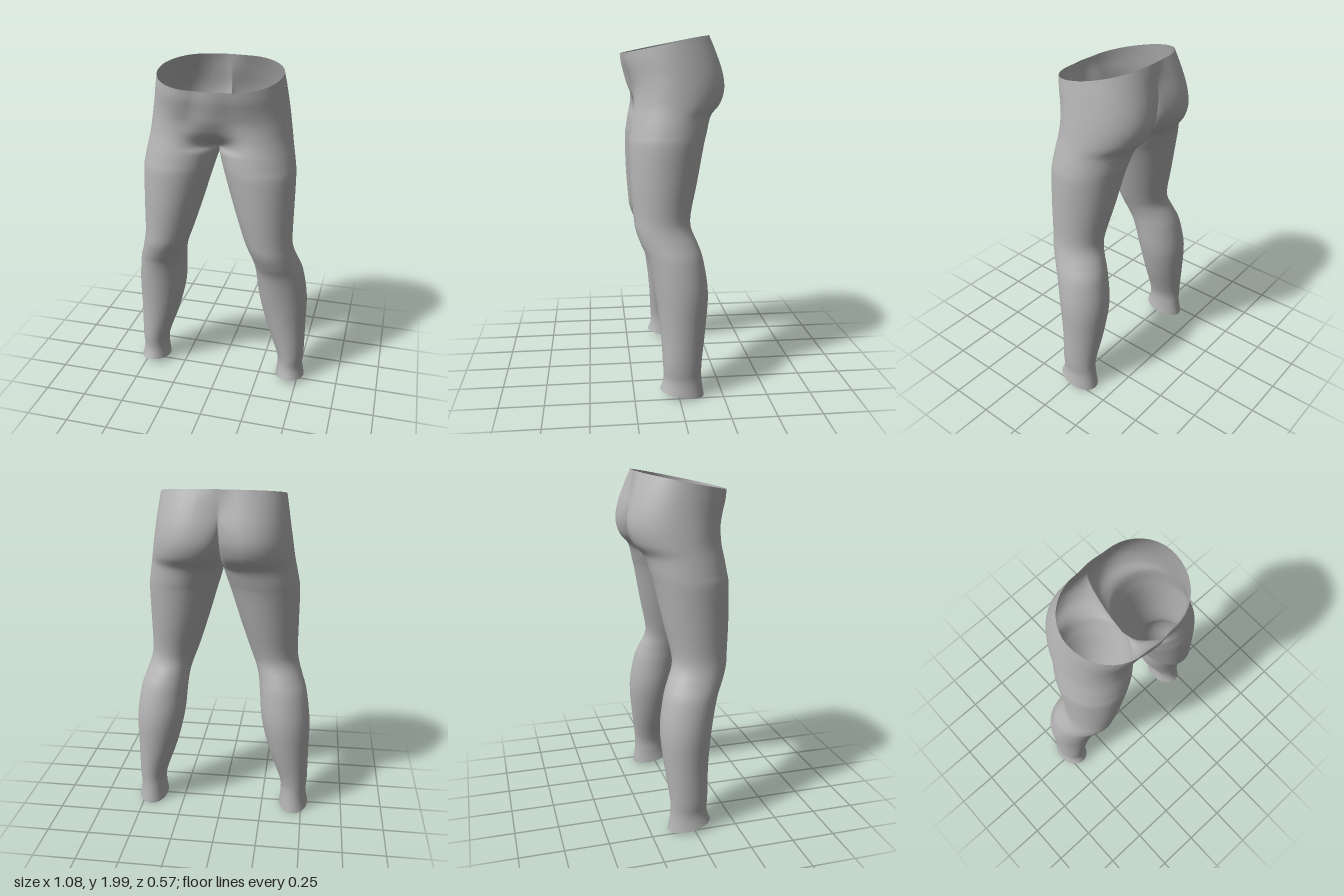
import * as THREE from 'three';
import { mergeVertices } from 'three/addons/utils/BufferGeometryUtils.js';

// Hip rows, from the waistband down to the crotch:
// y, slant, outer x, side z, front lobe x, z, front centre z, front softness,
// back lobe x, z, back centre z, back softness
const HIPS = [
  [1.958, -0.2, 0.35, 0.02, 0.10, 0.28, 0.288, 1, 0.10, -0.205, -0.212, 1],
  [1.88, -0.12, 0.363, 0.01, 0.12, 0.268, 0.282, 1, 0.13, -0.24, -0.225, 0.6],
  [1.79, -0.04, 0.377, 0, 0.14, 0.245, 0.265, 1, 0.15, -0.275, -0.235, 0.2],
  [1.71, 0, 0.39, 0, 0.17, 0.225, 0.243, 1, 0.16, -0.285, -0.2, 0],
  [1.63, 0, 0.402, 0, 0.2, 0.222, 0.195, 1, 0.165, -0.262, -0.13, 0],
  [1.575, 0, 0.412, 0.01, 0.21, 0.23, 0.11, 0.6, 0.18, -0.215, -0.06, 0],
  [1.535, 0, 0.42, 0.02, 0.215, 0.238, 0.02, 0, 0.2, -0.195, 0.02, 0],
];
// Leg rows down to the hem: y, inner x, outer x, front z, back z, slant
const LEG = [
  [1.47, 0.018, 0.432, 0.248, -0.178, 0],
  [1.4, 0.04, 0.44, 0.255, -0.16, 0],
  [1.2, 0.1, 0.44, 0.25, -0.12, 0],
  [1.03, 0.155, 0.44, 0.237, -0.083, 0],
  [0.95, 0.185, 0.45, 0.228, -0.083, 0],
  [0.87, 0.21, 0.475, 0.2, -0.115, 0],
  [0.78, 0.222, 0.505, 0.162, -0.145, 0],
  [0.6, 0.24, 0.53, 0.125, -0.17, 0],
  [0.4, 0.29, 0.53, 0.1, -0.155, 0],
  [0.2, 0.36, 0.53, 0.088, -0.13, 0],
  [0.11, 0.368, 0.525, 0.085, -0.13, 0.05],
  [0.032, 0.36, 0.54, 0.105, -0.143, 0.18],
];
const CROTCH = HIPS.length - 1;
const STEPS = 4;   // rings between two rows
const QUARTER = 10; // points per quarter of a ring

// All rows in one layout, with the inner x last
const ROWS = [
  ...HIPS.map((r) => [...r, 0]),
  ...LEG.map(([y, xi, xo, zf, zb, slant]) => {
    const cx = (xi + xo) / 2, cz = (zf + zb) / 2;
    return [y, slant, xo, cz, cx, zf, cz, 0, cx, zb, cz, 0, xi];
  }),
];

// Smooth blend of the rows at position s
function rowAt(s) {
  const i = Math.min(Math.floor(s), ROWS.length - 2), t = s - i;
  const at = (k) => ROWS[THREE.MathUtils.clamp(k, 0, ROWS.length - 1)];
  const [a, b, c, d] = [at(i - 1), at(i), at(i + 1), at(i + 2)];
  return b.map((p, k) => {
    const m0 = (c[k] - a[k]) / 2, m1 = (d[k] - p) / 2;
    return p + m0 * t + (3 * (c[k] - p) - 2 * m0 - m1) * t * t
      + (2 * (p - c[k]) + m0 + m1) * t * t * t;
  });
}

// One ring: inner front -> front lobe -> outer side -> back lobe -> inner back
function ring(s) {
  let [y, slant, xo, zs, xf, zf, zfc, kf, xb, zb, zbc, kb, xi] = rowAt(s);
  xi = s <= CROTCH ? 0 : Math.max(0, xi);
  if (s >= CROTCH) zfc = zbc = (zfc + zbc) / 2;
  const mix = THREE.MathUtils.lerp;
  const clamp01 = (v) => THREE.MathUtils.clamp(v, 0, 1);
  const inner = (a, xl, zl, zc, k) => [
    xi + (xl - xi) * mix(1 - Math.cos(a), a / (Math.PI / 2), clamp01(k)),
    zc + (zl - zc) * mix(Math.sin(a), Math.sin(a) ** 2, clamp01(k)),
  ];
  const outer = (a, xl, zl) => [xl + (xo - xl) * Math.sin(a), zs + (zl - zs) * Math.cos(a)];
  const points = [];
  for (let j = 0; j <= QUARTER * 4; j++) {
    const q = Math.min(Math.floor(j / QUARTER), 3);
    const a = ((j - q * QUARTER) / QUARTER) * Math.PI / 2, back = Math.PI / 2 - a;
    const [x, z] = q === 0 ? inner(a, xf, zf, zfc, kf)
      : q === 1 ? outer(a, xf, zf)
      : q === 2 ? outer(back, xb, zb)
      : inner(back, xb, zb, zbc, kb);
    points.push([x, y + slant * z, z]);
  }
  return points;
}

// Both halves as one skin, joined along the centre line and the inner legs
function leggingsGeometry() {
  const position = [], index = [];
  const rings = (ROWS.length - 1) * STEPS + 1, n = QUARTER * 4 + 1;
  for (const side of [1, -1]) {
    const base = position.length / 3;
    for (let r = 0; r < rings; r++) {
      for (const [x, y, z] of ring(r / STEPS)) position.push(side * x, y, z);
    }
    for (let r = 0; r < rings - 1; r++) {
      for (let j = 0; j < n - 1; j++) {
        const a = base + r * n + j, b = a + 1, c = a + n, d = c + 1;
        if (side > 0) index.push(a, c, b, b, c, d);
        else index.push(a, b, c, b, d, c);
      }
    }
  }
  const geometry = new THREE.BufferGeometry();
  geometry.setAttribute('position', new THREE.Float32BufferAttribute(position, 3));
  geometry.setIndex(index);
  const merged = mergeVertices(geometry, 1e-4);
  merged.computeVertexNormals();
  return merged;
}

export function createModel() {
  const fabric = new THREE.MeshStandardMaterial({ color: 0xb4b4b4, side: THREE.DoubleSide });
  fabric.name = 'grey fabric';
  const leggings = new THREE.Mesh(leggingsGeometry(), fabric);
  leggings.name = 'leggings';
  const group = new THREE.Group();
  group.name = 'leggingsModel';
  group.add(leggings);
  return group;
}
